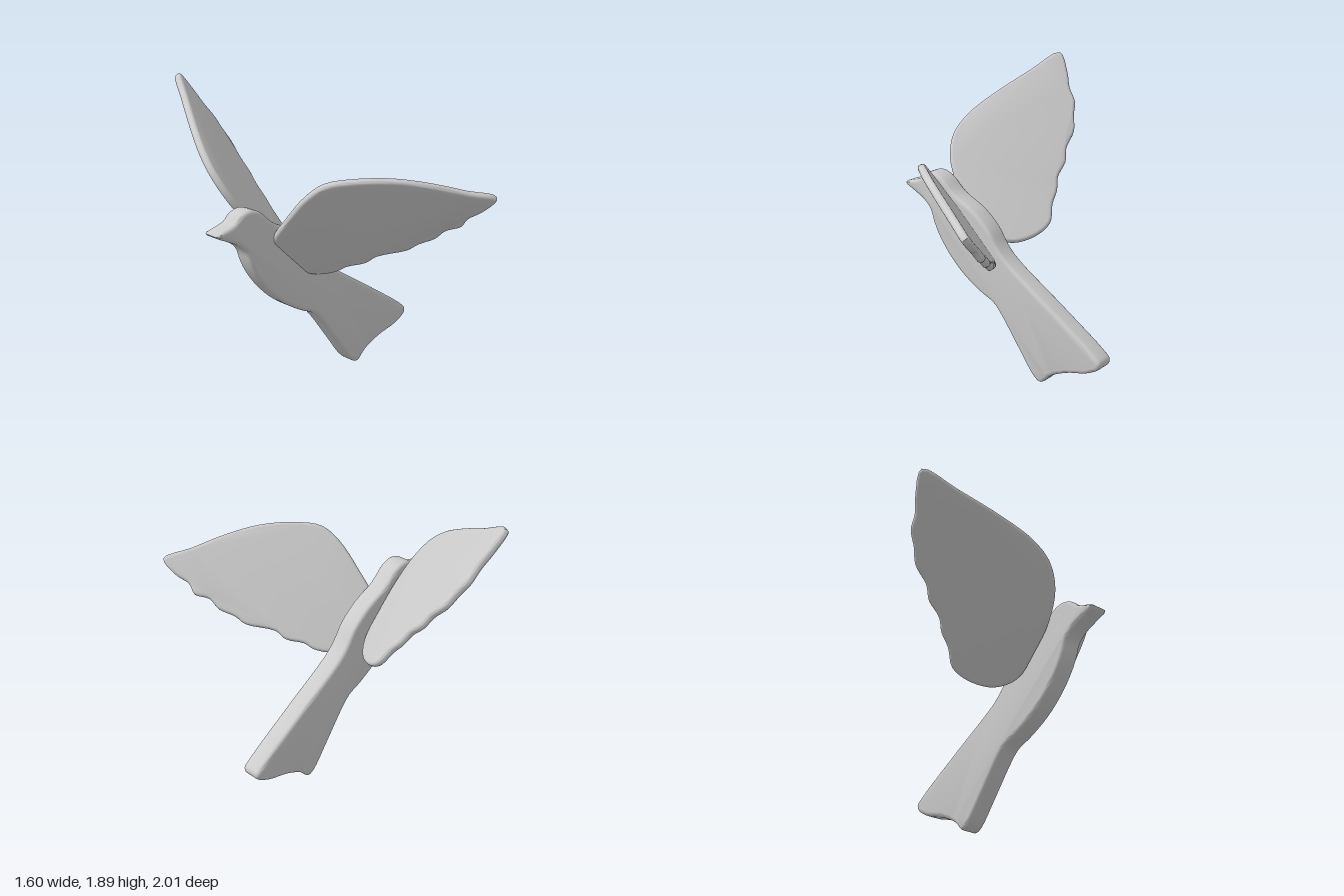
import * as THREE from 'three';
import { toCreasedNormals } from 'three/addons/utils/BufferGeometryUtils.js';

const V = (x, y, z = 0) => new THREE.Vector3(x, y, z);

// Smooth closed outline in 2D, extruded with rounded rims and centred on its own plane
function plate(points, thickness, bevel, divisions) {
  const curve = new THREE.CatmullRomCurve3(points, true, 'centripetal');
  const pts = [];
  for (let i = 0; i < points.length * divisions; i++) {
    const p = curve.getPoint(i / (points.length * divisions));
    pts.push(new THREE.Vector2(p.x, p.y));
  }
  const geo = new THREE.ExtrudeGeometry(new THREE.Shape(pts), {
    depth: thickness - 2 * bevel, bevelEnabled: true, bevelThickness: bevel,
    bevelSize: bevel, bevelOffset: -bevel, bevelSegments: 4,
  });
  geo.translate(0, 0, bevel - thickness / 2);
  return toCreasedNormals(geo, 0.8);
}

// Flat wing: 3D outline points lying in the plane with the given normal
function wingGeometry(points, normal, thickness) {
  const n = normal.clone().normalize();
  const u = V(0, 1, 0).cross(n).normalize();
  const v = n.clone().cross(u);
  const origin = points[0];
  const flat = points.map((p) => {
    const d = p.clone().sub(origin);
    return V(d.dot(u), d.dot(v));
  });
  const geo = plate(flat, thickness, thickness * 0.42, 4);
  geo.applyMatrix4(new THREE.Matrix4().makeBasis(u, v, n).setPosition(origin));
  return geo;
}

export function createModel() {
  const group = new THREE.Group();
  const material = new THREE.MeshStandardMaterial({ color: 0xcccccc });
  const add = (name, geo) => {
    const mesh = new THREE.Mesh(geo, material);
    mesh.name = name;
    group.add(mesh);
  };

  // Body: beak, breast, fanned tail, back and head in one thick silhouette
  const body = [
    [-0.8, 1.12], [-0.72, 1.075], [-0.64, 1.035], [-0.58, 0.98], [-0.55, 0.9],
    [-0.51, 0.82], [-0.42, 0.7], [-0.3, 0.59], [-0.15, 0.5], [-0.04, 0.45],
    [0.02, 0.39], [0.17, 0.19], [0.3, 0.025], [0.35, 0.005], [0.42, 0.07],
    [0.55, 0.135], [0.7, 0.18], [0.79, 0.235], [0.8, 0.275], [0.76, 0.315],
    [0.4, 0.55], [0.07, 0.76], [-0.01, 0.84], [-0.08, 0.94], [-0.2, 1.04],
    [-0.37, 1.125], [-0.47, 1.21], [-0.55, 1.235], [-0.62, 1.215], [-0.67, 1.17],
  ].map(([x, y]) => V(x, y));
  const bodyGeo = plate(body, 0.135, 0.025, 4);
  bodyGeo.translate(0, 0, -0.005);
  add('body', bodyGeo);

  // Front wing: outline in x and y, scalloped along the trailing edge
  const frontWing = [
    [-0.37, 1.17], [-0.37, 1.02], [-0.32, 0.93], [-0.2, 0.82], [-0.1, 0.75],
    [-0.02, 0.73], [0.06, 0.755], [0.09, 0.79], [0.17, 0.82], [0.2, 0.87],
    [0.33, 0.92], [0.36, 0.965], [0.42, 1.01], [0.44, 1.07], [0.5, 1.1],
    [0.5, 1.16], [0.54, 1.21], [0.56, 1.305], [0.4, 1.35], [0.2, 1.41],
    [0, 1.45], [-0.18, 1.45], [-0.3, 1.42], [-0.35, 1.33],
  ].map(([x, y]) => V(x, y, 0.778 * x + 0.823 * y - 0.505));
  add('leftWing', wingGeometry(frontWing, V(-0.778, -0.823, 1), 0.05));

  // Rear wing: outline in x and z, rising steeply backwards
  const rearWing = [
    [-0.31, -0.99], [-0.41, -0.79], [-0.54, -0.51], [-0.6, -0.35], [-0.615, -0.23],
    [-0.57, -0.14], [-0.46, -0.09], [-0.32, -0.08], [-0.18, -0.09], [-0.06, -0.17],
    [0.03, -0.29], [0.07, -0.4], [0.035, -0.47], [0.025, -0.53], [-0.005, -0.58],
    [-0.005, -0.66], [-0.035, -0.71], [-0.04, -0.8], [-0.08, -0.85], [-0.11, -0.9],
    [-0.17, -0.92], [-0.22, -0.96],
  ].map(([x, z]) => V(x, -1.02 * x - 1.021 * z + 0.563, z));
  add('rightWing', wingGeometry(rearWing, V(1.02, 1, 1.021), 0.05));

  return group;
}
